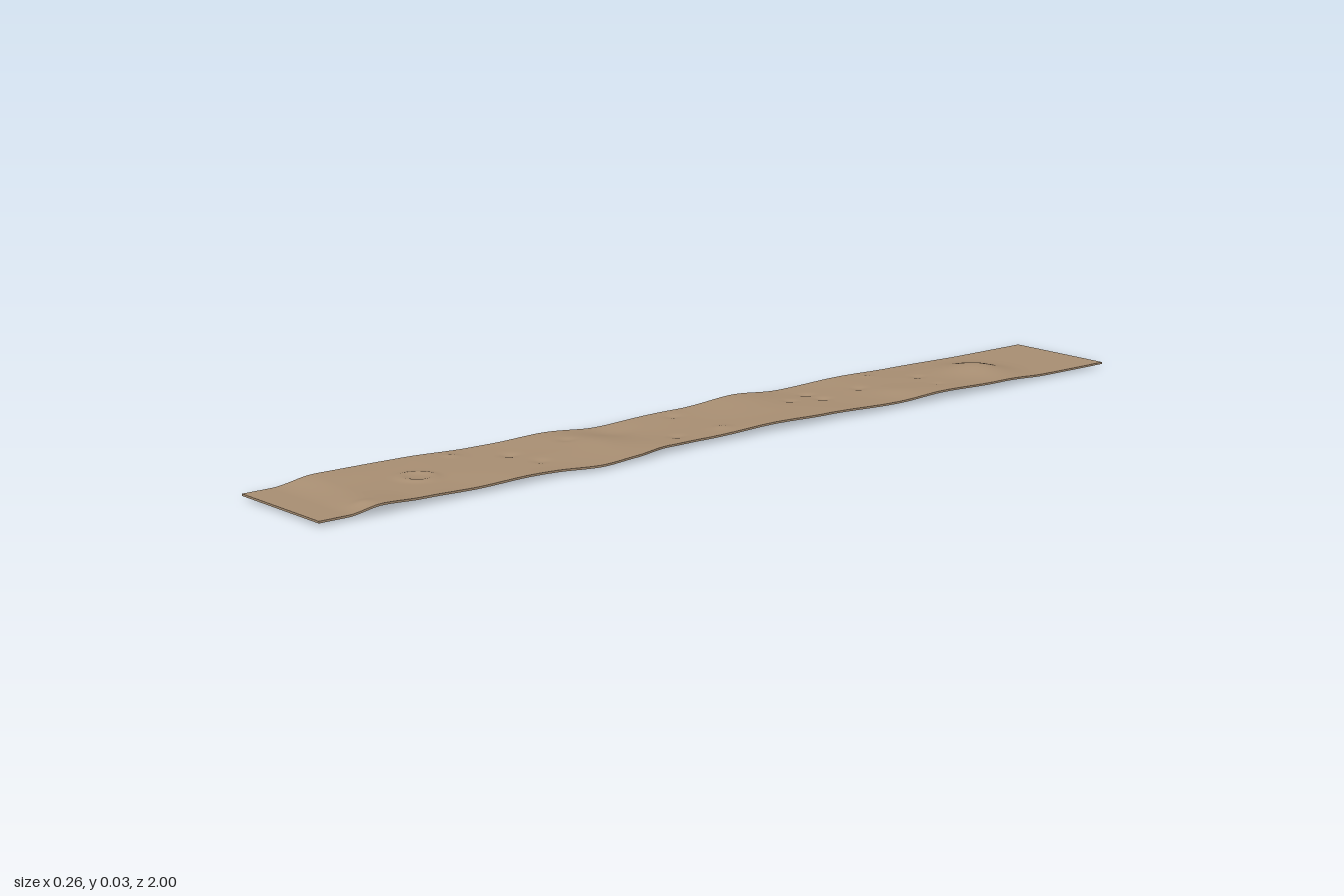
import * as THREE from 'three';

const THICKNESS = 0.004;

// Smooth interpolation through [position, value] knots
function along(knots, z) {
  if (z <= knots[0][0]) return knots[0][1];
  for (let i = 0; i < knots.length - 1; i++) {
    const [a, va] = knots[i], [b, vb] = knots[i + 1];
    if (z <= b) return va + (vb - va) * THREE.MathUtils.smoothstep(z, a, b);
  }
  return knots[knots.length - 1][1];
}

// Outline of the two long sides
const leftSide = [[-1, 0.12], [-0.78, 0.119], [-0.68, 0.122], [-0.5, 0.118], [-0.38, 0.117], [-0.2, 0.108],
  [0, 0.102], [0.12, 0.1], [0.2, 0.106], [0.3, 0.122], [0.38, 0.128], [0.48, 0.115], [0.68, 0.118],
  [0.78, 0.12], [0.87, 0.125], [0.94, 0.12], [1, 0.12]];
const rightSide = [[-1, -0.127], [-0.2, -0.126], [-0.05, -0.12], [0.1, -0.125], [0.25, -0.127], [0.42, -0.121],
  [0.5, -0.126], [0.7, -0.132], [0.82, -0.129], [0.9, -0.127], [1, -0.127]];

// Heights along the two sides and the middle
const leftHeight = [[-0.82, 0.009], [-0.68, 0.014], [-0.52, 0.017], [-0.4, 0.012], [-0.2, 0.015], [-0.08, 0.017],
  [0.1, 0.012], [0.22, 0.014], [0.38, 0.009], [0.55, 0.014], [0.66, 0.012], [0.78, 0.015], [0.87, 0.02], [0.94, 0.009]];
const middleHeight = [[-0.82, 0.009], [-0.7, 0.014], [-0.5, 0.015], [-0.3, 0.013], [-0.15, 0.018], [0.02, 0.012],
  [0.18, 0.01], [0.3, 0.015], [0.5, 0.014], [0.65, 0.016], [0.85, 0.016], [0.94, 0.009]];
const rightHeight = [[-0.82, 0.009], [-0.6, 0.012], [-0.45, 0.015], [-0.28, 0.011], [-0.15, 0.02], [0, 0.013],
  [0.2, 0.008], [0.35, 0.017], [0.5, 0.014], [0.65, 0.018], [0.85, 0.02], [0.94, 0.009]];

// Mounds, hollows and small pits: x, z, radius, height
const bumps = [
  [0.015, -0.72, 0.075, 0.014], [-0.07, 0.2, 0.06, -0.005], [-0.02, 0.3, 0.06, 0.003], [0.05, -0.45, 0.05, 0.003],
  [-0.02, -0.58, 0.016, -0.003], [0.06, -0.56, 0.014, -0.002], [-0.09, -0.5, 0.016, 0.002], [-0.02, -0.41, 0.016, -0.003],
  [-0.05, -0.29, 0.015, -0.004], [0, -0.29, 0.015, -0.004], [-0.02, -0.22, 0.014, -0.003], [-0.08, 0.04, 0.016, -0.003],
  [0.06, 0.03, 0.02, 0.003], [0.05, 0.14, 0.016, -0.003], [-0.05, 0.33, 0.018, -0.003], [-0.03, 0.48, 0.016, -0.004],
  [0.04, 0.46, 0.016, -0.003], [-0.09, 0.57, 0.016, 0.003], [0.09, 0.89, 0.02, 0.003],
];

function surface(u, x, z) {
  const l = along(leftHeight, z), m = along(middleHeight, z), r = along(rightHeight, z);
  const side = u > 0 ? l : r;
  let y = m + (side - m) * THREE.MathUtils.smoothstep(Math.abs(u), 0, 1);
  for (const [bx, bz, radius, h] of bumps) {
    const d = ((x - bx) ** 2 + (z - bz) ** 2) / radius ** 2;
    if (d < 8) y += h * Math.exp(-d * 1.3);
  }
  // Small ring-shaped crater
  const ring = Math.hypot(x, z - 0.71) - 0.03;
  y += 0.003 * Math.exp(-((ring / 0.011) ** 2));
  return Math.max(y, THICKNESS);
}

export function createModel() {
  const group = new THREE.Group();
  group.name = 'earthStrip';
  const earth = new THREE.MeshStandardMaterial({ color: 0xa98f73 });
  earth.name = 'dryEarth';

  // Thin slab bent to the uneven ground
  const geometry = new THREE.BoxGeometry(2, THICKNESS, 2, 44, 1, 320);
  const p = geometry.attributes.position;
  for (let i = 0; i < p.count; i++) {
    const u = p.getX(i), z = p.getZ(i);
    const x = THREE.MathUtils.lerp(along(rightSide, z), along(leftSide, z), (u + 1) / 2);
    const top = surface(u, x, z);
    p.setXYZ(i, x, p.getY(i) > 0 ? top : top - THICKNESS, z);
  }
  geometry.computeVertexNormals();

  const ground = new THREE.Mesh(geometry, earth);
  ground.name = 'unevenGround';
  group.add(ground);
  return group;
}
